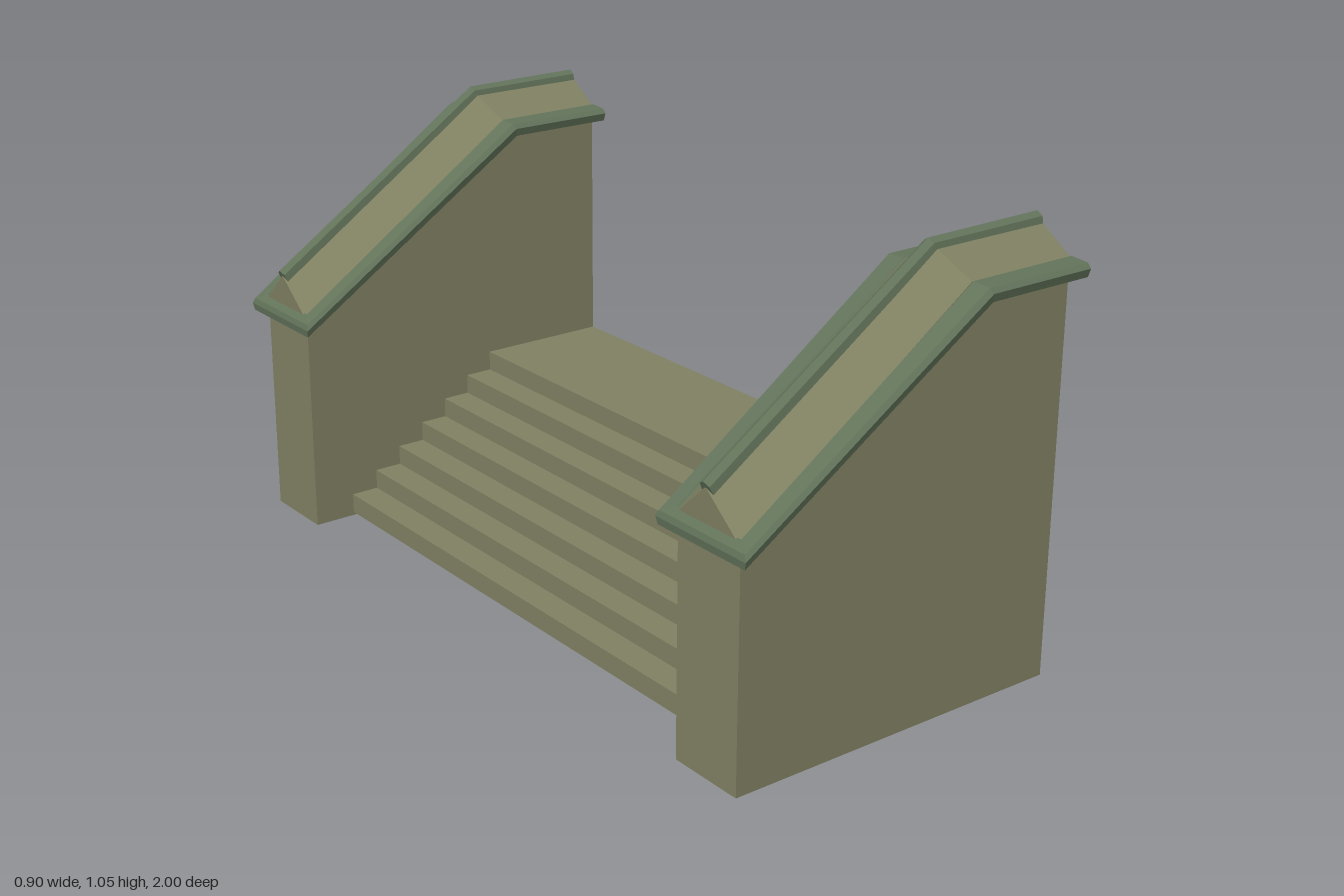
import * as THREE from 'three';

const stone = new THREE.MeshStandardMaterial({ color: 0x808062, flatShading: true, side: THREE.DoubleSide });
const trim = new THREE.MeshStandardMaterial({ color: 0x62735a, flatShading: true, side: THREE.DoubleSide });

const HALF = 0.0975; // half thickness of a side wall

// Skin between successive cross-sections, each a list of [x, y, z]
function loft(sections) {
  const pos = [];
  for (let i = 0; i < sections.length - 1; i++) {
    const a = sections[i], b = sections[i + 1];
    for (let j = 0; j < a.length - 1; j++) {
      pos.push(...a[j], ...b[j], ...b[j + 1], ...a[j], ...b[j + 1], ...a[j + 1]);
    }
  }
  const g = new THREE.BufferGeometry();
  g.setAttribute('position', new THREE.Float32BufferAttribute(pos, 3));
  g.computeVertexNormals();
  return g;
}

function add(group, name, geometry, material) {
  const m = new THREE.Mesh(geometry, material);
  m.name = name;
  group.add(m);
  return m;
}

function createParapet(name) {
  const g = new THREE.Group();
  g.name = name;

  // Hollow wall: two faces and the low end, open at the bottom and back
  const face = new THREE.Shape([[-0.43, 0], [0.45, 0], [0.45, 0.96], [0.17, 0.96], [-0.43, 0.552]]
    .map(([x, y]) => new THREE.Vector2(x, y)));
  for (const s of [1, -1]) {
    const m = add(g, s > 0 ? 'wallFaceLeft' : 'wallFaceRight', new THREE.ShapeGeometry(face), stone);
    if (s < 0) {
      // turned round so that its front looks outwards
      m.geometry.scale(-1, 1, 1);
      m.rotation.y = Math.PI;
    }
    m.position.z = s * HALF;
  }
  const low = [-1, 1].map((s) => [[-0.43, 0, s * HALF], [-0.43, 0.552, s * HALF]].reverse());
  add(g, 'wallEnd', loft(low), stone);

  // Moulding running up both sides and mitred across the low end: [outward, up]
  const profile = [[0, 0], [0.053, 0], [0.06, 0.02], [0.05, 0.031], [0.004, 0.034], [0, 0.03]];
  const corner = (s) => profile.map(([o, h]) => {
    const x = -0.43 - o * 0.4;
    return [x, 0.54 + h + 0.67 * (x + 0.43), s * (HALF + o * 0.73)];
  });
  const bend = (s) => profile.map(([o, h]) => [0.175 - h * 0.3, 0.945 + h, s * (HALF + o * 0.97)]);
  const back = (s) => profile.map(([o, h]) => [0.45, 0.945 + h, s * (HALF + o)]);
  add(g, 'eaveMoulding', loft([back(1), bend(1), corner(1), corner(-1), bend(-1), back(-1)]), trim);

  // Pitched coping with a gable at the low end
  const pitch = (xe, ye, xr, yr) => [[xe, ye, HALF], [xr, yr, 0], [xe, ye, -HALF]];
  const end = pitch(-0.435, 0.562, -0.44, 0.65);
  add(g, 'coping', loft([end, pitch(0.165, 0.977, 0.137, 1.041), pitch(0.45, 0.977, 0.45, 1.041)]), stone);
  const gableFoot = [end[0], [-0.435, 0.562, 0], end[2]];
  add(g, 'copingGable', loft([gableFoot, end]), stone);

  // Ridge bar: [sideways, up]
  const bar = [[0.018, -0.012], [0.015, 0.005], [0, 0.014], [-0.015, 0.005], [-0.018, -0.012], [0.018, -0.012]];
  const ring = (x, y, lean) => bar.map(([w, h]) => [x - h * lean, y + h, w]);
  const tip = ring(-0.44, 0.65, 0.5);
  add(g, 'ridge', loft([tip.map(() => [-0.44, 0.65, 0]), tip, ring(0.137, 1.038, 0.3), ring(0.45, 1.04, 0)]), trim);
  return g;
}

// Folded sheet of seven risers and treads ending in a deep landing
function createSteps() {
  const count = 7, run = 0.072, y0 = 0.008, rise = (0.357 - y0) / count;
  const line = [[-0.322, y0]];
  for (let i = 0; i < count; i++) {
    const x = -0.322 + i * run, y = y0 + (i + 1) * rise;
    line.push([x, y], [i < count - 1 ? x + run : 0.45, y]);
  }
  return loft([-0.762, 0.78].map((z) => line.map(([x, y]) => [x, y, z])));
}

export function createModel() {
  const model = new THREE.Group();
  model.name = 'stairway';
  for (const s of [1, -1]) {
    const p = createParapet(s > 0 ? 'frontParapet' : 'backParapet');
    p.position.z = s * 0.8425;
    model.add(p);
  }
  add(model, 'steps', createSteps(), stone);
  return model;
}
